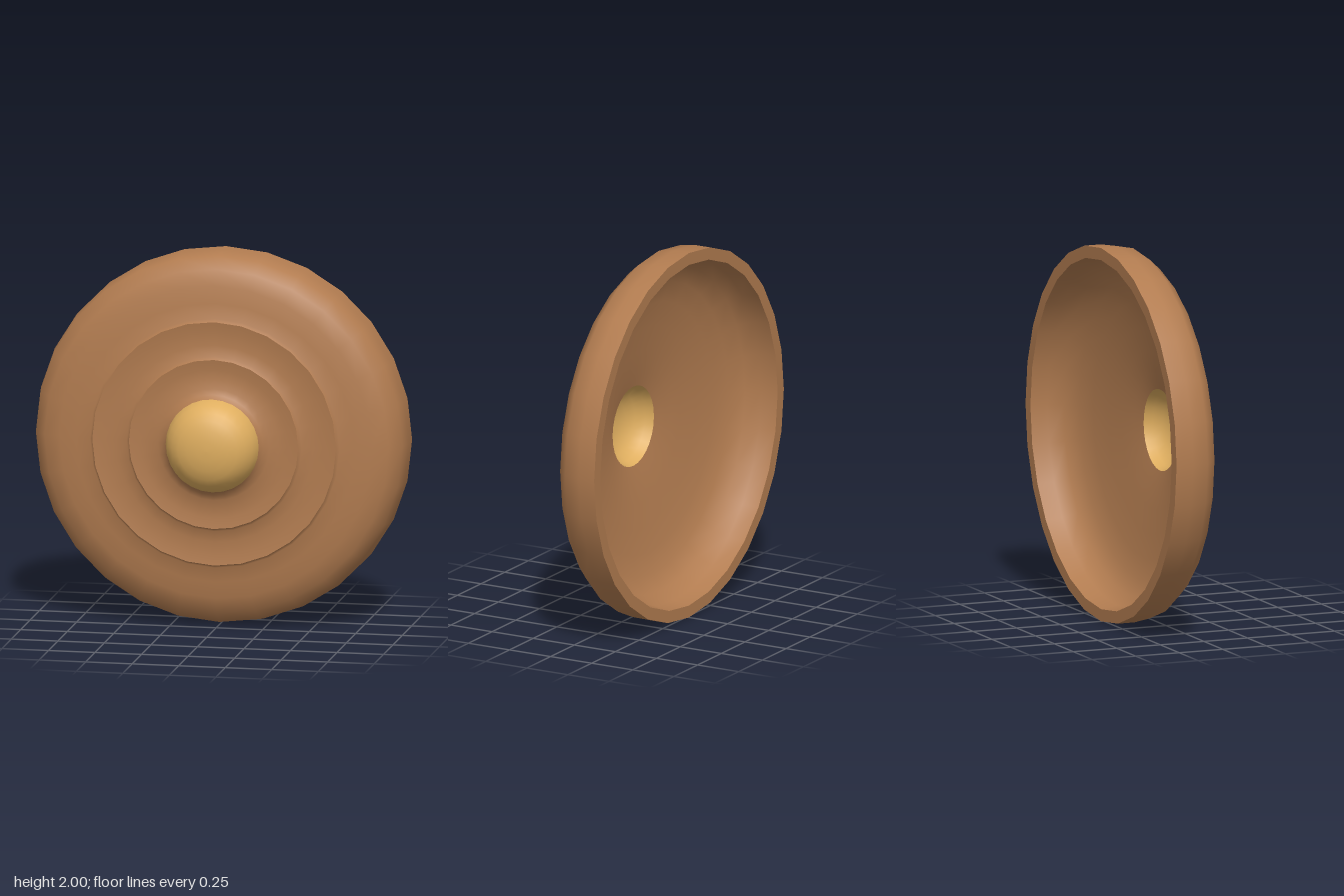
import * as THREE from 'three';

const SEGMENTS = 28;

export function createModel() {
  const wood = new THREE.MeshStandardMaterial({ color: 0xb27c50 });
  wood.name = 'wood';
  const brass = new THREE.MeshStandardMaterial({ color: 0xdfae5f });
  brass.name = 'brass';

  const model = new THREE.Group();
  model.name = 'roundShield';

  // Each profile is a list of [radius, z]; separate profiles keep their shared edge sharp.
  function turned(name, profile, material) {
    const points = profile.map(([r, z]) => new THREE.Vector2(r, z));
    const geometry = new THREE.LatheGeometry(points, SEGMENTS);
    geometry.rotateX(Math.PI / 2);
    const mesh = new THREE.Mesh(geometry, material);
    mesh.name = name;
    mesh.position.y = 1;
    model.add(mesh);
  }

  // Front of the shield: each ring dips, then sweeps up to the lip of the next one
  turned('outerBand', [
    [1, -0.265], [1, -0.17], [0.985, -0.08], [0.925, -0.015],
    [0.84, 0.011], [0.75, 0.025], [0.67, 0.035], [0.655, 0.053],
  ], wood);
  turned('middleRing', [
    [0.655, 0.053], [0.6, 0.045], [0.53, 0.044], [0.47, 0.053], [0.455, 0.069],
  ], wood);
  turned('innerRing', [
    [0.455, 0.069], [0.4, 0.061], [0.35, 0.062], [0.3, 0.071],
    [0.27, 0.083], [0.25, 0.106],
  ], wood);

  // Central boss
  turned('boss', [
    [0.25, 0.106], [0.243, 0.133], [0.228, 0.168], [0.197, 0.208],
    [0.16, 0.232], [0.11, 0.251], [0.05, 0.261], [0, 0.262],
  ], brass);

  // Hollow back: boss cavity, dished inner wall and flat rim
  turned('bossCavity', [
    [0, 0.208], [0.06, 0.203], [0.115, 0.188], [0.165, 0.16],
    [0.2, 0.118], [0.218, 0.074],
  ], brass);
  turned('backDish', [
    [0.218, 0.074], [0.3, 0.055], [0.42, 0.033], [0.55, 0.011],
    [0.68, -0.015], [0.79, -0.047], [0.875, -0.1], [0.92, -0.175], [0.935, -0.265],
  ], wood);
  turned('backRim', [[0.935, -0.265], [1, -0.265]], wood);

  return model;
}
